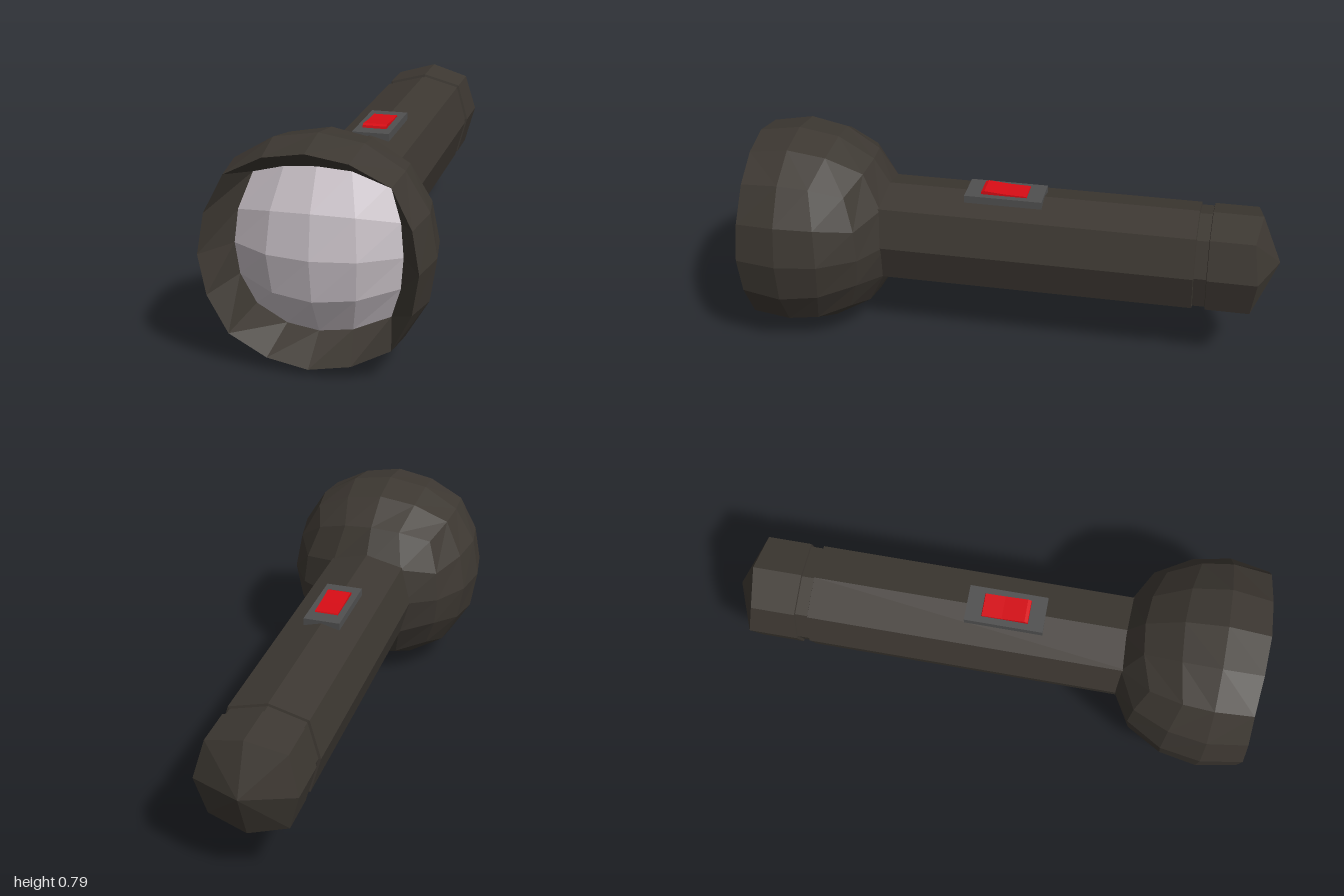
import * as THREE from 'three';

const AXIS_Y = 0.398;

function flatMesh(name, geometry, color) {
  const geo = geometry.index ? geometry.toNonIndexed() : geometry;
  geo.computeVertexNormals();
  const mesh = new THREE.Mesh(geo, new THREE.MeshStandardMaterial({ color, flatShading: true }));
  mesh.name = name;
  return mesh;
}

// Cube rounded into a ball, its front row cut to a flat rim and its front face sunk inside
function headGeometry(part) {
  const geo = new THREE.BoxGeometry(2, 2, 2, 4, 4, 4);
  const pos = geo.attributes.position;
  const v = new THREE.Vector3();
  for (let i = 0; i < pos.count; i++) {
    const w = pos.getZ(i);
    const t = [pos.getX(i), pos.getY(i), w].map((c) => Math.tan(c * Math.PI / 4));
    const size = t.map(Math.abs).sort((a, b) => a - b);
    v.set(...t).setLength(0.394 + 0.013 * size[1]);
    if (Math.abs(w - 0.5) < 0.01) v.z = 0.157 - 0.014 * Math.min(Math.abs(t[0]), Math.abs(t[1]));
    if (w > 0.99) v.z -= 0.263;
    pos.setXYZ(i, v.x, v.y, v.z);
  }
  // The fifth of the six cube faces is the front one
  const index = Array.from(geo.index.array);
  const front = index.splice(4 * 96, 96);
  geo.setIndex(part === 'lens' ? front : index);
  return geo;
}

// Eight-sided tube lofted through [z, scale, corner z offset], starting at the tail point
function handleGeometry(sections) {
  const points = [];
  const index = [];
  sections.forEach(([z, scale, cornerZ = 0], k) => {
    for (let i = 0; i < 8; i++) {
      const corner = i % 2;
      const r = scale * (corner ? 0.208 : 0.187);
      const a = i * Math.PI / 4;
      points.push(r * Math.cos(a), r * Math.sin(a), z + corner * cornerZ);
      if (k === 0) continue;
      const j = (i + 1) % 8;
      const a0 = (k - 1) * 8;
      const b0 = k * 8;
      if (k > 1) index.push(a0 + i, a0 + j, b0 + j);
      index.push(a0 + i, b0 + j, b0 + i);
    }
  });
  const geo = new THREE.BufferGeometry();
  geo.setAttribute('position', new THREE.Float32BufferAttribute(points, 3));
  geo.setIndex(index);
  return geo;
}

export function createModel() {
  const model = new THREE.Group();
  model.name = 'flashlight';
  const dark = 0x3d3832;

  // Bowl-shaped head and its bulging lens
  const head = new THREE.Group();
  head.name = 'head';
  head.add(flatMesh('headShell', headGeometry('shell'), dark));
  head.add(flatMesh('lens', headGeometry('lens'), 0xc8c0c6));
  head.position.set(0, AXIS_Y, 0.84);
  model.add(head);

  // Handle with pointed tail cap and a shallow groove
  const handle = flatMesh('handle', handleGeometry([
    [-1, 0], [-0.925, 1, 0.02],
    [-0.74, 1], [-0.738, 0.95], [-0.692, 0.95], [-0.69, 1],
    [0.56, 1],
  ]), dark);
  handle.position.y = AXIS_Y + 0.004;
  model.add(handle);

  // Switch plate on top of the handle
  const plate = flatMesh('switchPlate', new THREE.BoxGeometry(0.14, 0.04, 0.295), 0x505050);
  plate.position.set(0, 0.579, 0.04);
  model.add(plate);

  // Rocker button, higher at the front
  const profile = new THREE.Shape();
  [[-0.13, 0.59], [0.05, 0.59], [0.045, 0.604], [-0.03, 0.606], [-0.115, 0.613], [-0.127, 0.608]]
    .forEach(([x, y], i) => (i ? profile.lineTo(x, y) : profile.moveTo(x, y)));
  const buttonGeo = new THREE.ExtrudeGeometry(profile, { depth: 0.09, bevelEnabled: false });
  buttonGeo.translate(0, 0, -0.045).rotateY(Math.PI / 2);
  model.add(flatMesh('switchButton', buttonGeo, 0xd80d15));

  return model;
}
